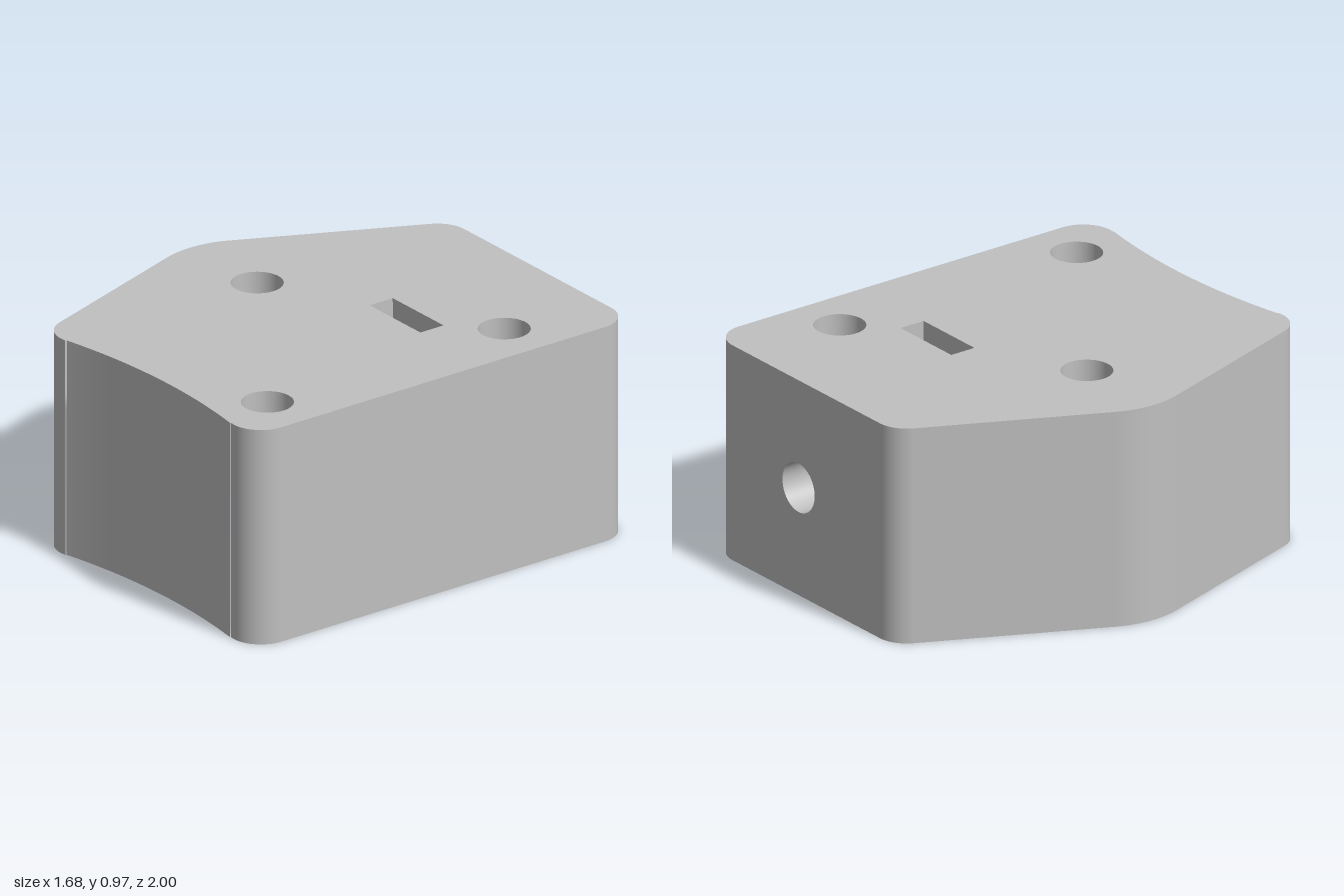
import * as THREE from 'three';

const H = 0.97, R = 0.11, SEG = 48;

// Sweep a flat curve along z from za to zb with exact normals
function strip(curve, za, zb) {
  const n = curve.isLineCurve ? 1 : SEG, s = Math.sign(zb - za);
  const pos = [], nor = [], idx = [];
  for (let i = 0; i <= n; i++) {
    const p = curve.getPoint(i / n), t = curve.getTangent(i / n);
    pos.push(p.x, p.y, za, p.x, p.y, zb);
    nor.push(s * t.y, -s * t.x, 0, s * t.y, -s * t.x, 0);
    if (i < n) {
      const a = i * 2;
      idx.push(a, a + 2, a + 1, a + 2, a + 3, a + 1);
    }
  }
  const g = new THREE.BufferGeometry();
  g.setAttribute('position', new THREE.Float32BufferAttribute(pos, 3));
  g.setAttribute('normal', new THREE.Float32BufferAttribute(nor, 3));
  g.setIndex(idx);
  return g;
}

// Turn a surface to face the other way
function flip(g) {
  const a = g.index.array, n = g.attributes.normal.array;
  for (let i = 0; i < a.length; i += 3) [a[i], a[i + 1]] = [a[i + 1], a[i]];
  for (let i = 0; i < n.length; i++) n[i] = -n[i];
  return g;
}

const circle = (x, y) => new THREE.EllipseCurve(x, y, R, R, 0, Math.PI * 2);
const circlePath = (x, y) => new THREE.Path().absarc(x, y, R, 0, Math.PI * 2, false);
const polygon = pts => pts.map(([x, y]) => new THREE.Vector2(x, y));

// Plan outline, drawn with x across and z as the second coordinate
function outline() {
  const s = new THREE.Shape();
  const arc = (x, z, r, from, to, cw = true) =>
    s.absarc(x, z, r, Math.atan2(from[1], from[0]), Math.atan2(to[1], to[0]), cw);
  const slantA = [-0.894, -0.447], slantB = [-0.942, 0.336];
  arc(0.70, -0.86, 0.14, [1, 0], [0, -1]);
  arc(-0.305, -0.86, 0.14, [0, -1], slantA);
  arc(-0.43, 0.02, 0.41, slantA, slantB);
  arc(-0.43, 0.86, 0.14, slantB, [0.216, 0.976]);
  arc(0.22, 3.795, 2.87, [-0.216, -0.976], [0.159, -0.987], false);
  arc(0.70, 0.82, 0.14, [-0.159, 0.987], [1, 0]);
  s.closePath();
  return s;
}

export function createModel() {
  const group = new THREE.Group();
  const grey = new THREE.MeshStandardMaterial({ color: 0xc0c0c0 });
  grey.name = 'grey';
  const add = (name, geometry) => {
    const m = new THREE.Mesh(geometry, grey);
    m.name = name;
    group.add(m);
    return m;
  };

  const through = [[-0.39, 0.01], [0.6, -0.52], [0.6, 0.71]];
  const blind = [[0.083, 0.12], [0.083, 0.70]];
  const boreX = 0.25, boreY = 0.485, boreEnd = 0;
  const slotBack = -0.34, slotFront = -0.22, floorY = 0.3;
  const slot = [[0.075, H], [0.09, floorY], [0.435, floorY], [0.422, H]];

  // Top and bottom faces with their openings
  const top = outline(), bottom = outline();
  through.forEach(([x, z]) => {
    top.holes.push(circlePath(x, z));
    bottom.holes.push(circlePath(x, z));
  });
  blind.forEach(([x, z]) => bottom.holes.push(circlePath(x, z)));
  top.holes.push(new THREE.Path(polygon([
    [slot[0][0], slotBack], [slot[3][0], slotBack], [slot[3][0], slotFront], [slot[0][0], slotFront]])));
  add('topFace', flip(new THREE.ShapeGeometry(top, SEG / 2)).rotateX(Math.PI / 2)).position.y = H;
  add('bottomFace', new THREE.ShapeGeometry(bottom, SEG / 2).rotateX(Math.PI / 2));

  // Side walls; the straight back wall is cut by the bore
  outline().curves.forEach((c, i) => {
    if (i === 1 || c.getLength() < 0.01) return;
    add('sideWall', strip(c, 0, -H).rotateX(Math.PI / 2));
  });
  const back = new THREE.Shape(polygon([[-0.305, 0], [0.7, 0], [0.7, H], [-0.305, H]]));
  back.holes.push(circlePath(boreX, boreY));
  add('backWall', flip(new THREE.ShapeGeometry(back, SEG / 2))).position.z = -1;

  // Vertical holes
  through.forEach(([x, z]) => add('throughHole', strip(circle(x, z), 0, -H).rotateX(Math.PI / 2)));
  blind.forEach(([x, z]) => {
    const depth = 0.5;
    add('blindHole', strip(circle(x, z), 0, -depth).rotateX(Math.PI / 2));
    add('blindHoleEnd', new THREE.CircleGeometry(R, SEG).rotateX(Math.PI / 2)).position.set(x, depth, z);
  });

  // Horizontal bore from the back, crossing the slot
  add('backBore', strip(circle(boreX, boreY), slotBack, -1));
  add('innerBore', strip(circle(boreX, boreY), boreEnd, slotFront));
  add('boreEnd', new THREE.CircleGeometry(R, SEG).rotateY(Math.PI)).position.set(boreX, boreY, boreEnd);

  // Slot sunk into the top
  const pts = polygon(slot);
  for (let i = 0; i < 3; i++) {
    add('slotWall', strip(new THREE.LineCurve(pts[i], pts[i + 1]), slotFront, slotBack));
  }
  const slotSide = new THREE.Shape(pts);
  slotSide.holes.push(circlePath(boreX, boreY));
  add('slotBackWall', new THREE.ShapeGeometry(slotSide, SEG / 2)).position.z = slotBack;
  add('slotFrontWall', flip(new THREE.ShapeGeometry(slotSide, SEG / 2))).position.z = slotFront;

  return group;
}
